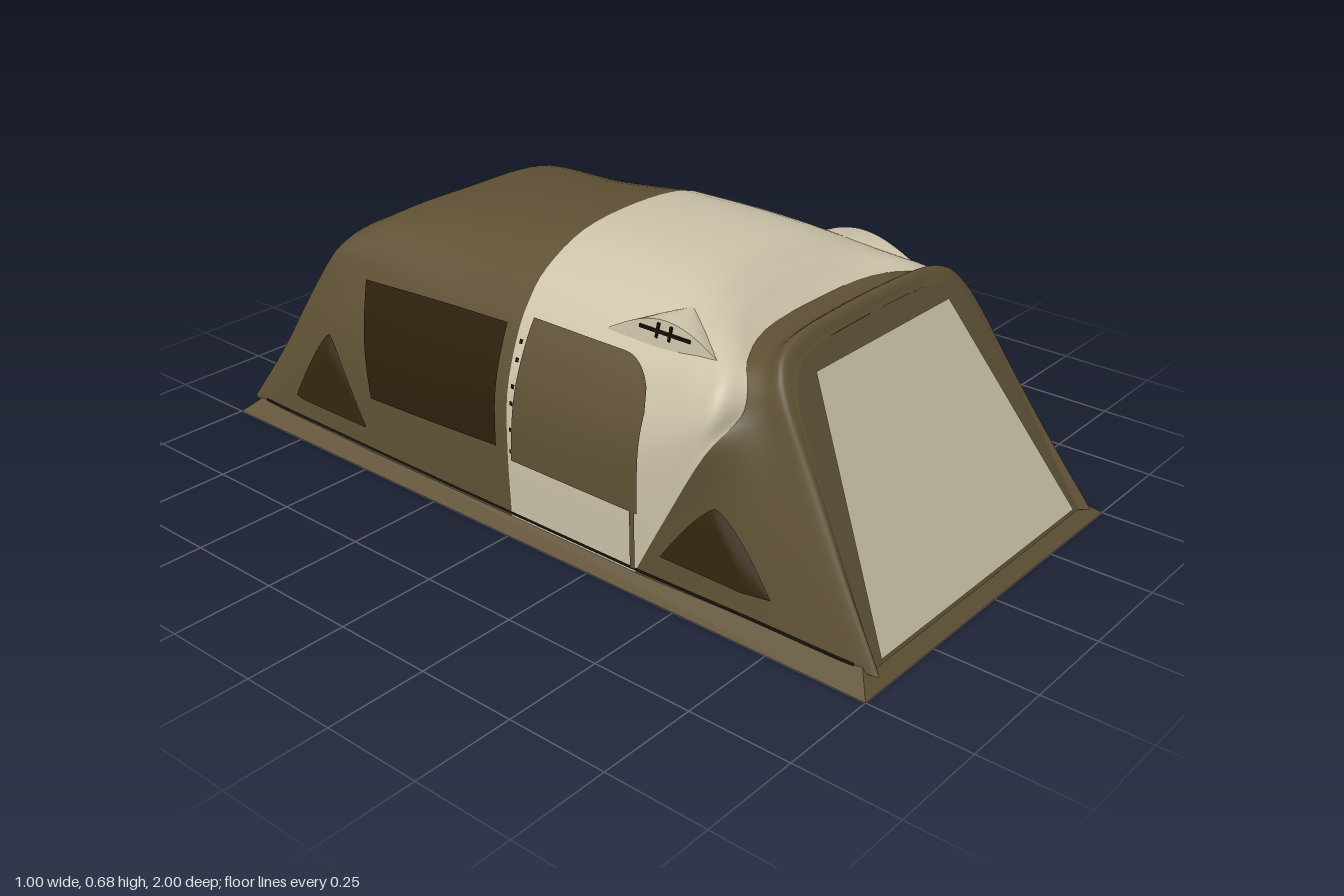
import * as THREE from 'three';

const mat = (name, color) =>
  Object.assign(new THREE.MeshStandardMaterial({ color, side: THREE.DoubleSide }), { name });

// Surface through a grid of points (rows of equal length)
function gridGeometry(rows) {
  const w = rows[0].length, index = [];
  for (let j = 0; j < rows.length - 1; j++)
    for (let i = 0; i < w - 1; i++) {
      const a = j * w + i, b = a + 1, c = a + w, d = c + 1;
      index.push(a, b, c, b, d, c);
    }
  const g = new THREE.BufferGeometry().setFromPoints(rows.flat());
  g.setIndex(index);
  g.computeVertexNormals();
  return g;
}

const V = (p) => new THREE.Vector3(...p);
const sample = (pts, n) => {
  const curve = new THREE.CatmullRomCurve3(pts, false, 'catmullrom', 0.5);
  return Array.from({ length: n + 1 }, (_, i) => curve.getPoint(i / n));
};

// Half hoop (base to ridge) mirrored into a full smooth arch
const arch = (half) =>
  sample([...half.map(V), ...half.slice(0, -1).reverse().map(([x, y, z]) => V([-x, y, z]))], 56);

// Smooth fabric stretched over a series of hoops
function loft(hoops, steps) {
  const arches = hoops.map(arch);
  const cols = arches[0].map((_, i) => sample(arches.map((a) => a[i]), steps));
  return gridGeometry(cols);
}

// Flat end wall closing a hoop from side to side
function endWall(half, flip) {
  const rows = sample(half.map(V), 28).map((p) => {
    const q = p.clone().setX(-p.x);
    return flip ? [p, q] : [q, p];
  });
  return gridGeometry(rows);
}

// Hoops, each listed base to ridge as [x, y, z]
const upright = (zBase, zTop, k = 1) =>
  [[0.465, 0.03], [0.467, 0.2], [0.457, 0.345], [0.418, 0.465], [0.375, 0.54], [0.31, 0.605], [0.18, 0.661], [0, 0.676]]
    .map(([x, y], i) => [x, y * (i ? k : 1), zBase + (zTop - zBase) * y / 0.676]);

const rearSeam = upright(-0.02, -0.04);
const frontSeam = [[0.465, 0.03, 0.36], [0.467, 0.2, 0.45], [0.462, 0.385, 0.55], [0.4, 0.465, 0.595],
  [0.372, 0.52, 0.59], [0.33, 0.555, 0.555], [0.2, 0.572, 0.505], [0, 0.572, 0.49]];
const roomHoops = [rearSeam, upright(0.11, 0.16, 1.002),
  [[0.465, 0.03, 0.24], [0.467, 0.2, 0.29], [0.46, 0.35, 0.34], [0.422, 0.465, 0.37],
    [0.378, 0.537, 0.37], [0.31, 0.6, 0.35], [0.18, 0.65, 0.33], [0, 0.664, 0.32]],
  [[0.465, 0.03, 0.31], [0.467, 0.2, 0.38], [0.464, 0.37, 0.45], [0.44, 0.473, 0.49],
    [0.394, 0.537, 0.49], [0.314, 0.587, 0.455], [0.18, 0.615, 0.42], [0, 0.625, 0.405]],
  [[0.465, 0.03, 0.345], [0.467, 0.2, 0.43], [0.465, 0.39, 0.52], [0.449, 0.475, 0.56],
    [0.405, 0.535, 0.55], [0.32, 0.575, 0.515], [0.19, 0.591, 0.465], [0, 0.595, 0.452]],
  frontSeam];

// Sloped end hoops: an outer rim, then a slightly smaller one on the wall plane to round the edge
const frontZ = (y) => 0.99 - 0.575 * y;
const rearZ = (y) => -0.99 + 0.53 * y;
const frontRim = [[0.453, 0.03], [0.425, 0.2], [0.395, 0.37], [0.376, 0.49], [0.352, 0.555], [0.31, 0.595], [0.22, 0.615], [0, 0.62]];
const rearRim = [[0.457, 0.03], [0.437, 0.2], [0.413, 0.35], [0.39, 0.46], [0.363, 0.515], [0.3, 0.55], [0.18, 0.563], [0, 0.565]];
const outer = (rim, plane, back) => rim.map(([x, y]) => [x, y, plane(y) + back * Math.min(1, y / 0.2)]);
const inner = (rim, plane) => rim.map(([x, y]) => [x * 0.94, 0.03 + (y - 0.03) * 0.95, plane(0.03 + (y - 0.03) * 0.95)]);
const frontInner = inner(frontRim, frontZ);
const rearInner = inner(rearRim, rearZ);

const porchHoops = [frontSeam,
  [[0.458, 0.03, 0.66], [0.44, 0.2, 0.66], [0.412, 0.37, 0.655], [0.382, 0.48, 0.64],
    [0.36, 0.535, 0.625], [0.31, 0.567, 0.595], [0.2, 0.58, 0.572], [0, 0.582, 0.56]],
  outer(frontRim, frontZ, -0.012), frontInner];
const bedroomHoops = [rearSeam,
  [[0.465, 0.03, -0.3], [0.465, 0.2, -0.3], [0.448, 0.335, -0.3], [0.402, 0.46, -0.3],
    [0.36, 0.53, -0.3], [0.3, 0.585, -0.3], [0.18, 0.627, -0.3], [0, 0.64, -0.3]],
  [[0.463, 0.03, -0.6], [0.455, 0.2, -0.6], [0.434, 0.335, -0.59], [0.391, 0.46, -0.58],
    [0.36, 0.525, -0.57], [0.3, 0.577, -0.565], [0.18, 0.603, -0.56], [0, 0.609, -0.55]],
  outer(rearRim, rearZ, 0.03), rearInner];

export function createModel() {
  const group = new THREE.Group();
  const cream = mat('cream fabric', 0xcbc2a8);
  const brown = mat('brown fabric', 0x5f5135);
  const dark = mat('dark window mesh', 0x2c1f0b);
  const hooded = mat('dark vent fabric', 0x35270f);
  const black = mat('black trim', 0x14110c);

  const add = (name, geometry, material, parent = group) => {
    const m = new THREE.Mesh(geometry, material);
    m.name = name;
    parent.add(m);
    return m;
  };

  // Fabric shell
  const shell = [
    add('mainRoom', loft(roomHoops, 40), cream),
    add('porch', loft(porchHoops, 30), brown),
    add('bedroom', loft(bedroomHoops, 40), brown),
  ];
  add('porchFrontWall', endWall(frontInner, false), brown);
  add('bedroomRearWall', endWall(rearInner, true), brown);

  // Front door panel, visible from both sides
  for (const d of [0.004, -0.004]) {
    const row = (x, y) => [V([-x, y, frontZ(y) + d]), V([x, y, frontZ(y) + d])];
    add('frontDoor', gridGeometry([row(0.403, 0.04), row(0.258, 0.545)]), cream);
  }

  // Ground skirt
  const ring = (x, y, z) => [[-x, y, -z], [-x, y, z], [x, y, z], [x, y, -z], [-x, y, -z]].map(V);
  const skirt = gridGeometry([ring(0.5, 0, 1), ring(0.452, 0.04, 0.958)]).toNonIndexed();
  skirt.computeVertexNormals();
  add('groundSkirt', skirt, brown);

  // Side panels draped on the shell: at(u, v) gives [z, y, outward bulge]
  const ray = new THREE.Raycaster();
  const wallX = (z, y) => {
    ray.set(new THREE.Vector3(2, y, z), new THREE.Vector3(-1, 0, 0));
    const hit = ray.intersectObjects(shell)[0];
    return hit ? hit.point.x : 0.46;
  };
  function sidePanel(name, material, nu, nv, at, offsets = [0.004, -0.004]) {
    for (const off of offsets) {
      const pts = [];
      for (let j = 0; j <= nv; j++) {
        pts.push([]);
        for (let i = 0; i <= nu; i++) {
          const [z, y, bulge = 0] = at(i / nu, j / nv);
          pts[j].push(V([wallX(z, y) + off + (off > 0 ? bulge : 0), y, z]));
        }
      }
      for (const s of [1, -1]) {
        const rows = pts.map((r) => {
          const q = r.map((p) => p.clone().setX(p.x * s));
          return s > 0 ? q.reverse() : q;
        });
        add((s > 0 ? 'left' : 'right') + name, gridGeometry(rows), material);
      }
    }
  }
  const mix = THREE.MathUtils.lerp;

  // Side door with one rounded upper corner
  sidePanel('SideDoor', brown, 30, 14, (u, v) => {
    const z = mix(0, 0.372, u);
    const c = Math.max(0, (z - 0.272) / 0.1);
    const top = 0.52 - 0.1 * (1 - Math.sqrt(Math.max(0, 1 - c * c)));
    return [z + 0.012 * (1 - u) * (v - 1), mix(0.183, top, v)];
  });
  sidePanel('DoorSeam', brown, 1, 6, (u, v) => [mix(0.35, 0.364, u), mix(0.04, 0.185, v)]);

  // Bedroom window
  sidePanel('BedroomWindow', dark, 24, 14, (u, v) =>
    [mix(mix(-0.06, -0.072, v), mix(-0.505, -0.575, v), u), mix(mix(0.205, 0.182, u), mix(0.492, 0.46, u), v)]);

  // Low hooded vents, swelling out to the line of the hem
  for (const [name, z0, y0, half, h] of [['PorchVent', 0.58, 0.1, 0.145, 0.17], ['RearVent', -0.668, 0.095, 0.14, 0.21]])
    sidePanel(name, hooded, 24, 10, (u, v) => {
      const s = 2 * u - 1, rise = 1 - Math.abs(s) ** 1.25;
      const z = z0 + half * s, y = y0 + h * rise * v;
      const room = Math.max(0, 0.464 - wallX(z, y));
      return [z, y, Math.min(room, 0.03 * rise * Math.sin(Math.PI * (0.3 + 0.6 * v)))];
    });

  // Hem line and zip toggles
  sidePanel('HemLine', black, 60, 1, (u, v) => [mix(0.94, -0.94, u), mix(0.036, 0.044, v)], [0.002]);
  for (const y of [0.2, 0.255, 0.32, 0.36, 0.42, 0.46])
    sidePanel('Toggle', black, 1, 1, (u, v) => [-0.006 - 0.02 * (y - 0.2) - 0.01 * u, y + 0.01 * v], [0.003]);

  // Roof vent hoods
  for (const s of [1, -1]) {
    const hood = new THREE.Group();
    hood.name = s > 0 ? 'leftRoofVent' : 'rightRoofVent';
    group.add(hood);
    const N = 20, rim = [], mid = [], apex = [], sill = [];
    for (let i = 0; i <= N; i++) {
      const u = s > 0 ? 1 - i / N : i / N, z = mix(0.2, 0.53, u), lift = Math.sin(Math.PI * u);
      rim.push(V([s * (0.372 - 0.006 * lift), 0.545 + 0.06 * lift, z]));
      mid.push(V([s * 0.325, 0.568 + 0.042 * lift, mix(0.37, z, 0.6)]));
      apex.push(V([s * 0.28, 0.612, 0.37]));
      sill.push(V([s * 0.374, 0.535, z]));
    }
    add('hood', gridGeometry([rim, mid, apex]), cream, hood);
    add('opening', gridGeometry([sill, rim]), cream, hood);
    const bar = (y, z, h, d, tilt) => {
      const b = add('ventBar', new THREE.BoxGeometry(0.005, h, d), black, hood);
      b.position.set(s * 0.371, y, z);
      b.rotation.x = tilt;
    };
    bar(0.578, 0.365, 0.007, 0.14, 0);
    for (const z of [0.345, 0.38]) bar(0.58, z, 0.036, 0.006, 0.2);
  }
  return group;
}
